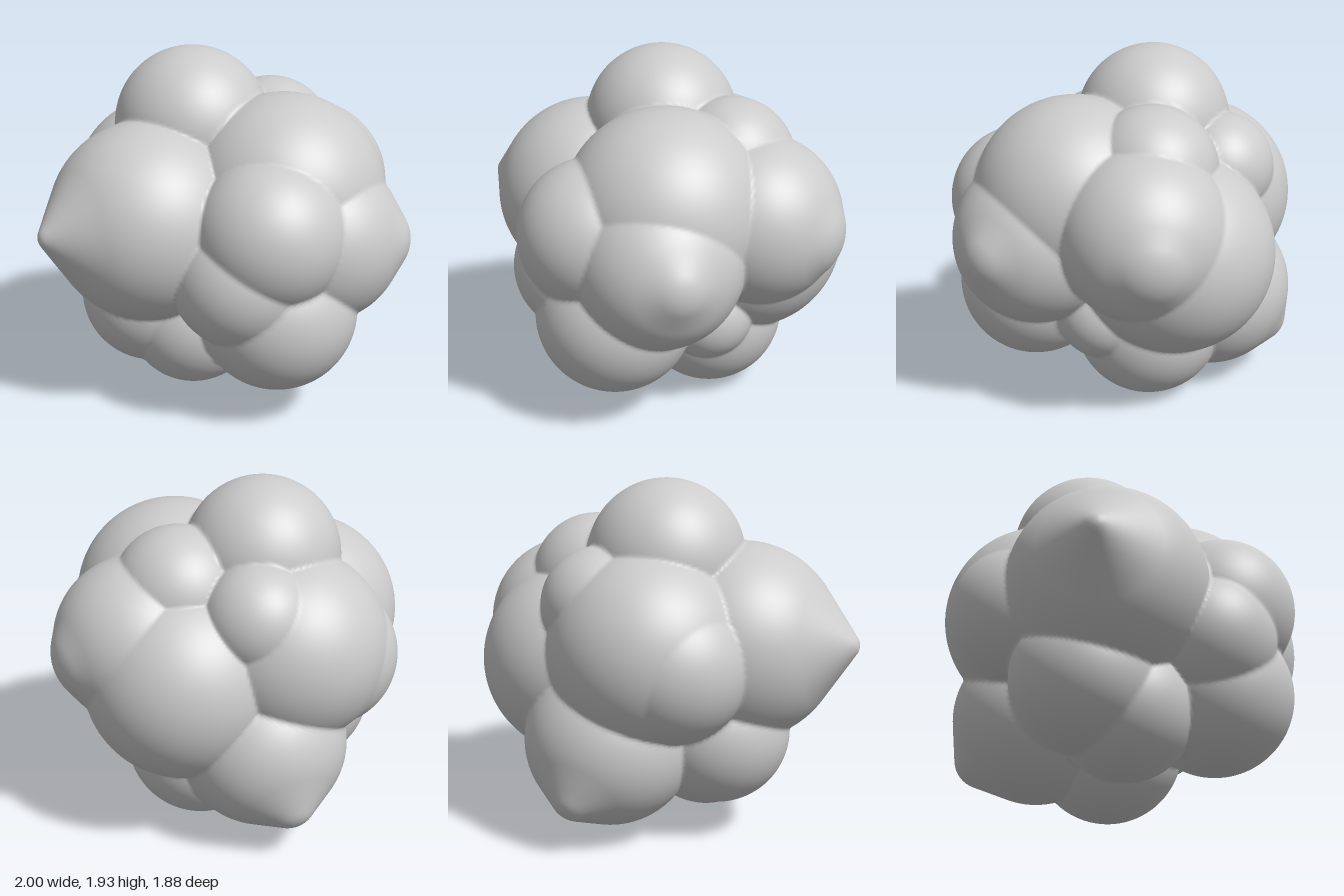
import * as THREE from 'three';
import { mergeVertices } from 'three/addons/utils/BufferGeometryUtils.js';

const CORE = new THREE.Vector3(0, 0.97, 0);

// Round lobes of the boulder: centre x, y, z, radius
const ROUND = [
  [0, 0.97, 0, 0.6],             // core
  [-0.23, 1.5, -0.02, 0.43],     // top
  [0.3, 1.16, 0.14, 0.56],       // upper left shoulder
  [0.27, 1.07, 0.53, 0.41],      // front upper
  [0.12, 0.83, 0.56, 0.375],     // front middle
  [0.3, 0.6, 0.43, 0.435],       // front lower
  [-0.43, 0.57, 0.2, 0.4],       // lower right side
  [-0.19, 0.45, 0.24, 0.38],     // bottom front
  [0.08, 0.42, -0.2, 0.42],      // bottom
  [0.36, 0.55, -0.08, 0.26],     // lower left gap
  [0.13, 0.9, -0.395, 0.55],     // back
  [0.18, 1.35, -0.28, 0.36],     // small upper back
  [-0.28, 1.28, -0.42, 0.31],    // small upper back right
  [-0.42, 1.05, -0.2, 0.535],    // right side
  [-0.59, 0.99, -0.13, 0.41],    // small right side
];

// Pointed lobes: a large ball tapering to a small one
const TAPERED = [
  [[-0.41, 1.05, 0.35, 0.545], [-0.83, 1.08, 0.75, 0.08]],  // front right corner
  [[0.5, 0.96, 0.25, 0.465], [0.77, 0.97, 0.26, 0.23]],     // left side
  [[0.38, 1.08, -0.36, 0.47], [0.53, 1.06, -0.49, 0.3]],    // upper left back
  [[-0.3, 0.54, -0.37, 0.465], [-0.48, 0.33, -0.61, 0.16]], // bottom back corner
];

const STEPS = 12;
const balls = [...ROUND];
for (const [big, small] of TAPERED) {
  for (let i = 0; i <= STEPS; i++) {
    balls.push(big.map((v, k) => THREE.MathUtils.lerp(v, small[k], i / STEPS)));
  }
}
const LOBES = balls.map(([x, y, z, r]) => {
  const offset = new THREE.Vector3(x, y, z).sub(CORE);
  return { offset, gap: r * r - offset.lengthSq() };
});

// Distance from the core to the far side of one ball along a direction
function reach(dir, { offset, gap }) {
  const along = dir.dot(offset);
  const inside = gap + along * along;
  return inside > 0 ? along + Math.sqrt(inside) : 0;
}

export function createModel() {
  const group = new THREE.Group();
  group.name = 'boulder';

  // Dense sphere pushed out to the furthest lobe in each direction
  let geometry = new THREE.IcosahedronGeometry(1, 64);
  geometry.deleteAttribute('normal');
  geometry.deleteAttribute('uv');
  geometry = mergeVertices(geometry, 1e-5);
  const pos = geometry.attributes.position;
  const dir = new THREE.Vector3();
  for (let i = 0; i < pos.count; i++) {
    dir.fromBufferAttribute(pos, i).normalize();
    const radius = Math.max(...LOBES.map((lobe) => reach(dir, lobe)));
    dir.multiplyScalar(radius).add(CORE);
    pos.setXYZ(i, dir.x, dir.y, dir.z);
  }
  geometry.computeVertexNormals();

  const mesh = new THREE.Mesh(geometry, new THREE.MeshStandardMaterial({ color: 0xcccccc }));
  mesh.name = 'lumpyStone';
  group.add(mesh);
  return group;
}
